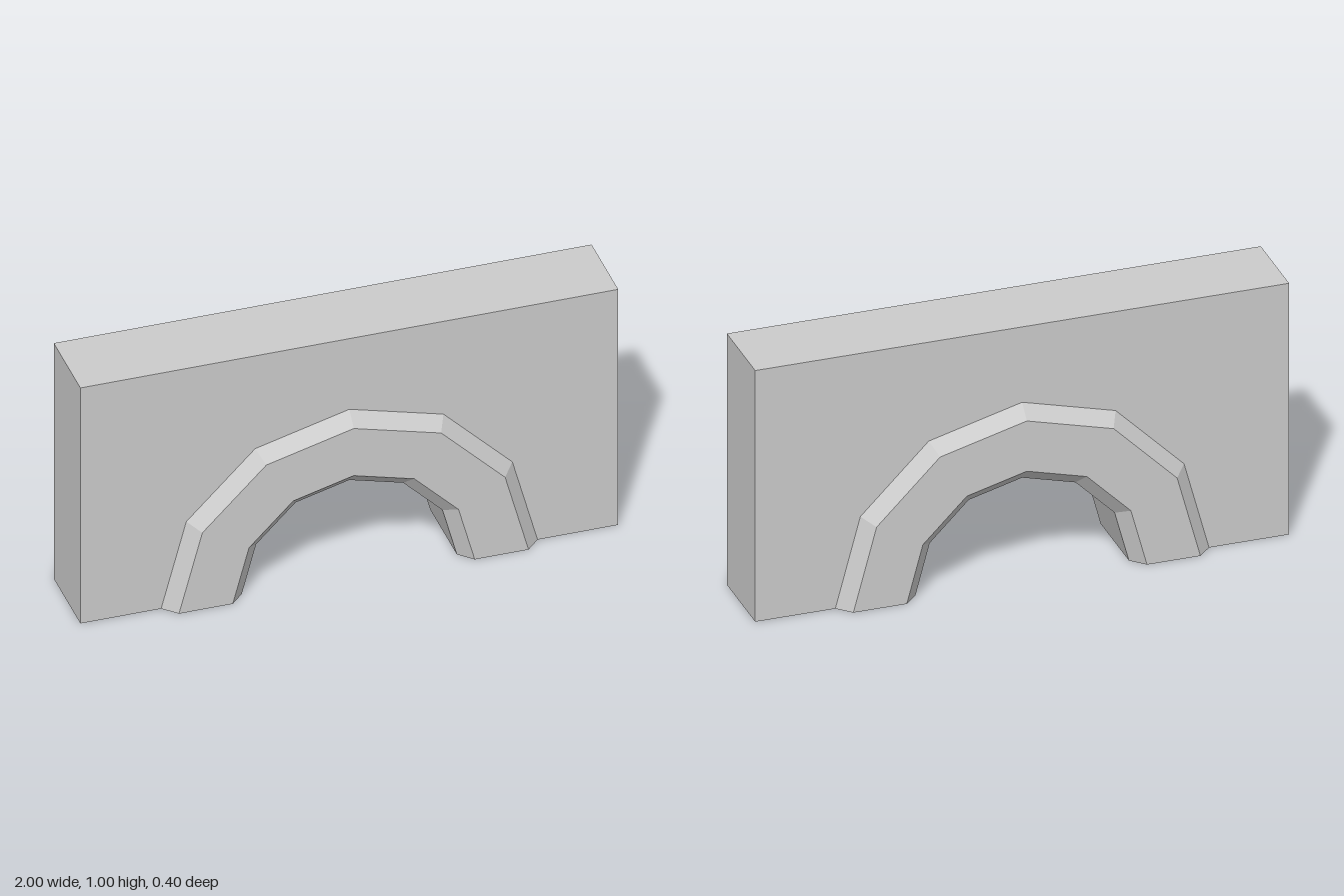
import * as THREE from 'three';

const SEGMENTS = 6;      // facets of the half circle
const OPENING = 0.4;     // radius of the arched opening
const HALF_DEPTH = 0.15; // half the wall thickness

// Trim cross-section: radius from the arch centre, distance from the wall's middle
const TRIM = [[0.7, 0.15], [0.65, 0.2], [0.45, 0.2], [0.4, 0.15]];

function createTrim(name, material) {
  const trim = new THREE.Group();
  trim.name = name;

  // Chamfered band swept over the half circle
  const profile = TRIM.map(([r, d]) => new THREE.Vector2(r, d));
  const band = new THREE.LatheGeometry(profile, SEGMENTS, Math.PI / 2, Math.PI);
  band.rotateX(Math.PI / 2);
  const bandMesh = new THREE.Mesh(band, material);
  bandMesh.name = 'archBand';
  trim.add(bandMesh);

  // Flat feet closing both ends on the ground
  for (const side of [1, -1]) {
    const shape = new THREE.Shape(TRIM.map(([r, d]) => new THREE.Vector2(side * r, d)));
    const foot = new THREE.Mesh(new THREE.ShapeGeometry(shape).rotateX(Math.PI / 2), material);
    foot.name = side > 0 ? 'leftFoot' : 'rightFoot';
    trim.add(foot);
  }
  return trim;
}

export function createModel() {
  const model = new THREE.Group();
  model.name = 'archedWall';
  const material = new THREE.MeshStandardMaterial({ color: 0xcccccc, flatShading: true });

  // Wall slab with a faceted arch cut from its lower edge
  const outline = new THREE.Shape();
  outline.moveTo(1, 0);
  outline.lineTo(1, 1);
  outline.lineTo(-1, 1);
  outline.lineTo(-1, 0);
  for (let i = SEGMENTS; i >= 0; i--) {
    const a = (i / SEGMENTS) * Math.PI;
    outline.lineTo(OPENING * Math.cos(a), OPENING * Math.sin(a));
  }
  outline.closePath();
  const slab = new THREE.ExtrudeGeometry(outline, { depth: 2 * HALF_DEPTH, bevelEnabled: false });
  slab.translate(0, 0, -HALF_DEPTH);
  const wall = new THREE.Mesh(slab, material);
  wall.name = 'wall';
  model.add(wall);

  // Matching arch trims on both faces
  const back = createTrim('backTrim', material);
  back.rotation.y = Math.PI;
  model.add(createTrim('frontTrim', material), back);
  return model;
}
